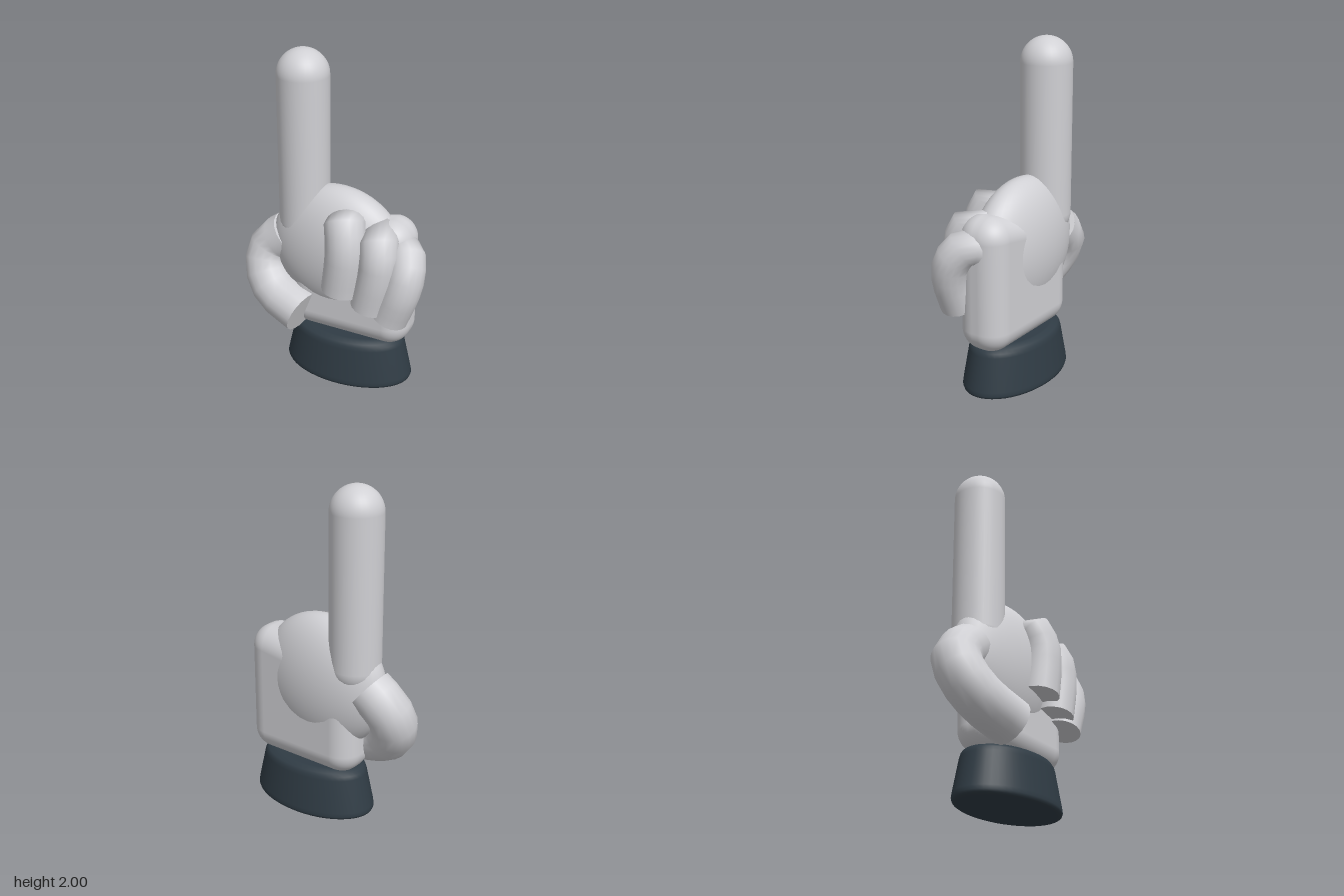
import * as THREE from 'three';
import { RoundedBoxGeometry } from 'three/addons/geometries/RoundedBoxGeometry.js';

export function createModel() {
  const glove = new THREE.MeshStandardMaterial({ color: 0xd0d0d4 });
  glove.name = 'gloveGrey';
  const slate = new THREE.MeshStandardMaterial({ color: 0x303c45 });
  slate.name = 'cuffSlate';
  const group = new THREE.Group();
  group.name = 'pointingGlove';

  function add(name, geometry, material, x = 0, y = 0, z = 0, parent = group) {
    const mesh = new THREE.Mesh(geometry, material);
    mesh.name = name;
    mesh.position.set(x, y, z);
    parent.add(mesh);
    return mesh;
  }

  // Oval cuff, tapering upwards with softened rims
  const profile = [[0, 0], [0.37, 0], [0.39, 0.001], [0.404, 0.008], [0.41, 0.022], [0.406, 0.045],
    [0.36, 0.245], [0.352, 0.268], [0.335, 0.285], [0.29, 0.299], [0.27, 0.3], [0, 0.3]];
  const cuff = new THREE.LatheGeometry(profile.map(([r, y]) => new THREE.Vector2(r, y)), 48);
  cuff.scale(1, 1, 0.61);
  add('cuff', cuff, slate, 0.07, 0, -0.03);

  // Palm block, its top sloping down towards the thumb side
  const palm = new RoundedBoxGeometry(0.77, 0.81, 0.31, 8, 0.135);
  const pos = palm.attributes.position;
  for (let i = 0; i < pos.count; i++) {
    if (pos.getY(i) > 0) {
      const t = THREE.MathUtils.clamp((0.1 - pos.getX(i)) / 0.48, 0, 1);
      pos.setY(i, pos.getY(i) * (1 - 0.4 * t));
    }
  }
  add('palm', palm, glove, 0.095, 0.675, -0.035);

  // Swollen knuckle mass
  const knuckles = new THREE.SphereGeometry(1, 40, 28);
  knuckles.scale(0.43, 0.41, 0.195);
  add('knuckles', knuckles, glove, 0, 0.805, -0.025);

  // Raised index finger
  const index = new THREE.Group();
  index.name = 'indexFinger';
  index.position.set(-0.23, 0, -0.035);
  group.add(index);
  add('fingerShaft', new THREE.CylinderGeometry(0.153, 0.153, 0.9, 32, 1, true), glove, 0, 1.398, 0, index);
  add('fingertip', new THREE.SphereGeometry(0.153, 32, 12, 0, Math.PI * 2, 0, Math.PI / 2), glove, 0, 1.847, 0, index);
  add('fingerBase', new THREE.SphereGeometry(0.153, 32, 12, 0, Math.PI * 2, Math.PI / 2, Math.PI / 2), glove, 0, 0.95, 0, index);

  // Curled digit: a coarse tube with flat ends
  function digit(name, radius, points) {
    const part = new THREE.Group();
    part.name = name;
    group.add(part);
    const curve = new THREE.CatmullRomCurve3(points.map((p) => new THREE.Vector3(...p)));
    add(name + 'Tube', new THREE.TubeGeometry(curve, 8, radius, 18), glove, 0, 0, 0, part);
    for (const end of [0, 1]) {
      const p = curve.getPointAt(end);
      const out = curve.getTangentAt(end).multiplyScalar(end ? 1 : -1);
      const cap = add(name + 'End', new THREE.CircleGeometry(radius, 18), glove, p.x, p.y, p.z, part);
      cap.quaternion.setFromUnitVectors(new THREE.Vector3(0, 0, 1), out);
    }
  }

  digit('thumb', 0.14, [[-0.33, 0.83, -0.03], [-0.45, 0.73, -0.02], [-0.465, 0.61, 0.03],
    [-0.38, 0.49, 0.09], [-0.16, 0.405, 0.14]]);
  digit('middleFinger', 0.12, [[0.09, 1.0, 0.01], [0.1, 1.07, 0.1], [0.132, 0.95, 0.153],
    [0.13, 0.84, 0.16], [0.105, 0.65, 0.155]]);
  digit('ringFinger', 0.113, [[0.29, 0.95, 0], [0.31, 1.0, 0.09], [0.335, 0.92, 0.14],
    [0.33, 0.8, 0.153], [0.285, 0.58, 0.15]]);
  digit('littleFinger', 0.11, [[0.37, 0.89, -0.04], [0.45, 0.91, 0.03], [0.487, 0.83, 0.1],
    [0.475, 0.72, 0.13], [0.405, 0.525, 0.13]]);

  return group;
}
